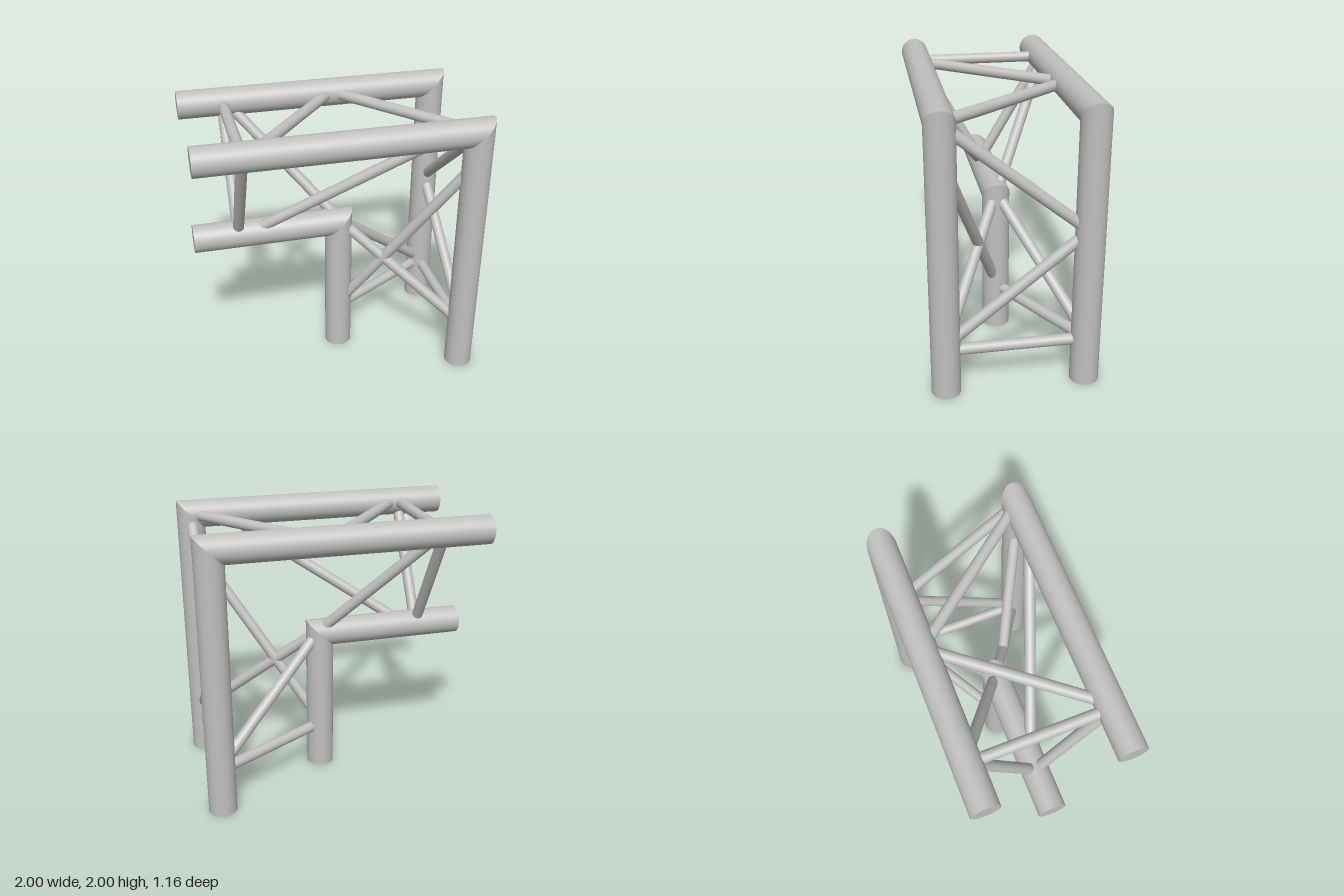
import * as THREE from 'three';

const CHORD_R = 0.1;
const BRACE_R = 0.039;
const DEPTH = 0.48;
const LEFT_END = -1;

export function createModel() {
  const model = new THREE.Group();
  model.name = 'trussCorner';
  const metal = new THREE.MeshStandardMaterial({ color: 0xc0c0c0 });
  metal.name = 'aluminium';

  function add(parent, geometry, name) {
    const mesh = new THREE.Mesh(geometry, metal);
    mesh.name = name;
    parent.add(mesh);
    return mesh;
  }

  // Main tube: a post and a rail, both cut at 45 degrees where they meet
  function chord(name, cx, cy, z) {
    const group = new THREE.Group();
    group.name = name;
    group.position.z = z;

    const post = new THREE.CylinderGeometry(CHORD_R, CHORD_R, cy, 48);
    post.translate(cx, cy / 2, 0);
    const p = post.attributes.position;
    for (let i = 0; i < p.count; i++) {
      if (p.getY(i) > cy / 2) p.setY(i, cy + p.getX(i) - cx);
    }
    add(group, post, 'post');

    const length = cx - LEFT_END;
    const rail = new THREE.CylinderGeometry(CHORD_R, CHORD_R, length, 48);
    rail.rotateZ(-Math.PI / 2);
    rail.translate(LEFT_END + length / 2, cy, 0);
    const r = rail.attributes.position;
    for (let i = 0; i < r.count; i++) {
      if (r.getX(i) > LEFT_END + length / 2) r.setX(i, cx + r.getY(i) - cy);
    }
    add(group, rail, 'rail');
    model.add(group);
  }

  // Thin tube between two points on the chord axes
  function brace(name, a, b) {
    const start = new THREE.Vector3(...a);
    const end = new THREE.Vector3(...b);
    const dir = end.clone().sub(start);
    const geometry = new THREE.CylinderGeometry(BRACE_R, BRACE_R, dir.length(), 24);
    const mesh = add(model, geometry, name);
    mesh.position.copy(start).add(end).multiplyScalar(0.5);
    mesh.quaternion.setFromUnitVectors(new THREE.Vector3(0, 1, 0), dir.normalize());
  }

  const X = 0.9, Y = 1.9;       // outer chord axes
  const IX = 0.065, IY = 1.075; // inner chord axes

  chord('frontChord', X, Y, DEPTH);
  chord('backChord', X, Y, -DEPTH);
  chord('innerChord', IX, IY, 0);

  // Bracing between the two upper rails
  brace('topStrut', [-0.68, Y, DEPTH], [-0.68, Y, -DEPTH]);
  brace('topDiagonalLeft', [-0.645, Y, DEPTH], [0.126, Y, -DEPTH]);
  brace('topDiagonalRight', [0.9, Y, DEPTH], [0.122, Y, -DEPTH]);

  // Bracing between the two outer posts
  brace('outerStrut', [X, 0.32, DEPTH], [X, 0.32, -DEPTH]);
  brace('outerDiagonalUpper', [X, 1.89, DEPTH], [X, 1.12, -DEPTH]);
  brace('outerDiagonalLower', [X, 0.36, DEPTH], [X, 1.13, -DEPTH]);

  // Matching braces from the inner chord to both outer chords
  for (const [side, z] of [['front', DEPTH], ['back', -DEPTH]]) {
    brace(side + 'RailStrut', [-0.68, IY, 0], [-0.68, Y, z]);
    brace(side + 'PostDiagonal', [IX, 1.09, 0], [X, 0.345, z]);
  }

  // Braces found on one side only
  brace('frontRailDiagonal', [-0.6, IY, 0], [0.675, Y, DEPTH]);
  brace('frontSteepDiagonal', [IX, 0.35, 0], [X, 1.67, DEPTH]);
  brace('backRailDiagonal', [0.085, IY, 0], [-0.655, Y, -DEPTH]);
  brace('backPostStrut', [IX, 0.32, 0], [X, 0.32, -DEPTH]);

  return model;
}
